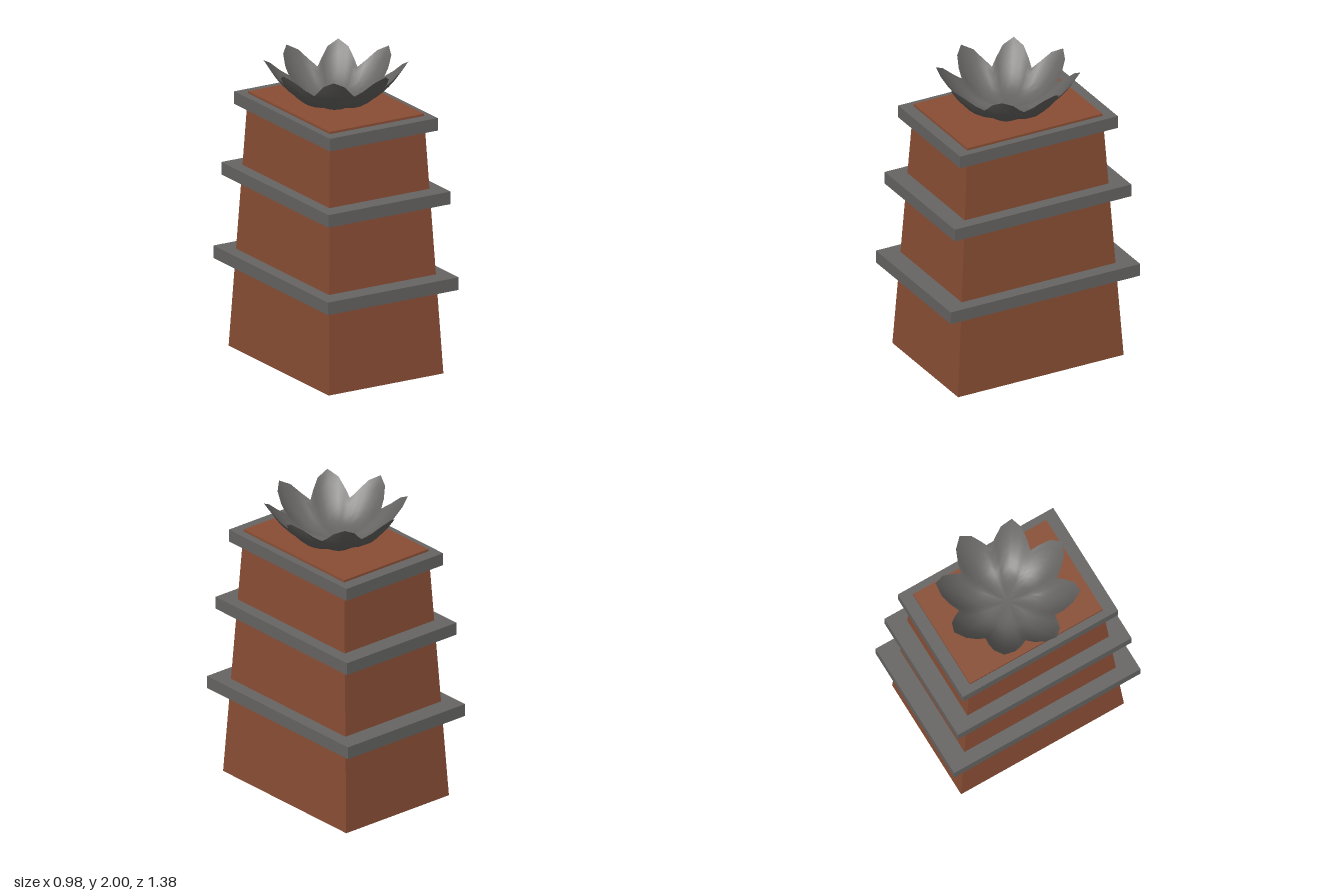
import * as THREE from 'three';

const brick = new THREE.MeshStandardMaterial({ color: 0x8a4e35 });
const stone = new THREE.MeshStandardMaterial({ color: 0x666563 });
const petalStone = new THREE.MeshStandardMaterial({ color: 0x666563, side: THREE.DoubleSide });

// Tapered rectangular shaft with a stone underside
function makeShaft() {
  const height = 1.722;
  const geo = new THREE.BoxGeometry(0.86, height, 1.206);
  geo.translate(0, height / 2, 0);
  const p = geo.attributes.position;
  for (let i = 0; i < p.count; i++) {
    if (p.getY(i) > height / 2) {
      p.setX(i, p.getX(i) * 0.705 / 0.86);
      p.setZ(i, p.getZ(i) * 0.984 / 1.206);
    }
  }
  geo.computeVertexNormals();
  const mesh = new THREE.Mesh(geo, [brick, brick, brick, stone, brick, brick]);
  mesh.name = 'shaft';
  return mesh;
}

// Piecewise linear lookup in a list of [x, y] points
function lookup(points, x) {
  let i = 1;
  while (i < points.length - 1 && x > points[i][0]) i++;
  const [x0, y0] = points[i - 1], [x1, y1] = points[i];
  return y0 + (y1 - y0) * (x - x0) / (x1 - x0);
}

// Open eight-petalled bowl: a polar grid whose rim runs tip, shoulder, valley
function makeFlower() {
  const petals = 8, rings = 10;
  const rim = [[-22.5, 0.331], [-16, 0.376], [-9, 0.426], [0, 0.461], [9, 0.426], [16, 0.376]];
  const bowl = [[0, 1.725], [0.13, 1.726], [0.2, 1.733], [0.27, 1.772], [0.33, 1.825],
    [0.39, 1.893], [0.461, 2.0]];
  const n = petals * rim.length;
  const pos = [0, 1.725, 0], index = [];
  for (let k = 1; k <= rings; k++) {
    const t = k / rings;
    for (let j = 0; j < n; j++) {
      const [offset, reach] = rim[j % rim.length];
      const a = THREE.MathUtils.degToRad(Math.floor(j / rim.length) * 45 - 11.3 + offset);
      const r = t * reach;
      // the sides of each petal curl up a little
      const curl = 0.035 * t * t * (Math.abs(offset) / 22.5);
      pos.push(r * Math.cos(a), lookup(bowl, r) + curl, r * Math.sin(a));
    }
  }
  for (let j = 0; j < n; j++) {
    const j2 = (j + 1) % n;
    index.push(0, 1 + j2, 1 + j);
    for (let k = 0; k < rings - 1; k++) {
      const a = 1 + k * n + j, b = 1 + k * n + j2;
      index.push(a, b, b + n, a, b + n, a + n);
    }
  }
  const geo = new THREE.BufferGeometry();
  geo.setAttribute('position', new THREE.Float32BufferAttribute(pos, 3));
  geo.setIndex(index);
  geo.computeVertexNormals();
  const mesh = new THREE.Mesh(geo, petalStone);
  mesh.name = 'flower';
  return mesh;
}

export function createModel() {
  const model = new THREE.Group();
  model.name = 'flowerTower';
  model.add(makeShaft());

  // Stone bands: name, width, depth, centre height
  const bands = [
    ['lowerBand', 0.98, 1.38, 0.615],
    ['middleBand', 0.916, 1.286, 1.182],
    ['upperBand', 0.81, 1.15, 1.665],
  ];
  for (const [name, w, d, y] of bands) {
    const band = new THREE.Mesh(new THREE.BoxGeometry(w, 0.084, d), stone);
    band.position.y = y;
    band.name = name;
    model.add(band);
  }

  model.add(makeFlower());
  return model;
}
